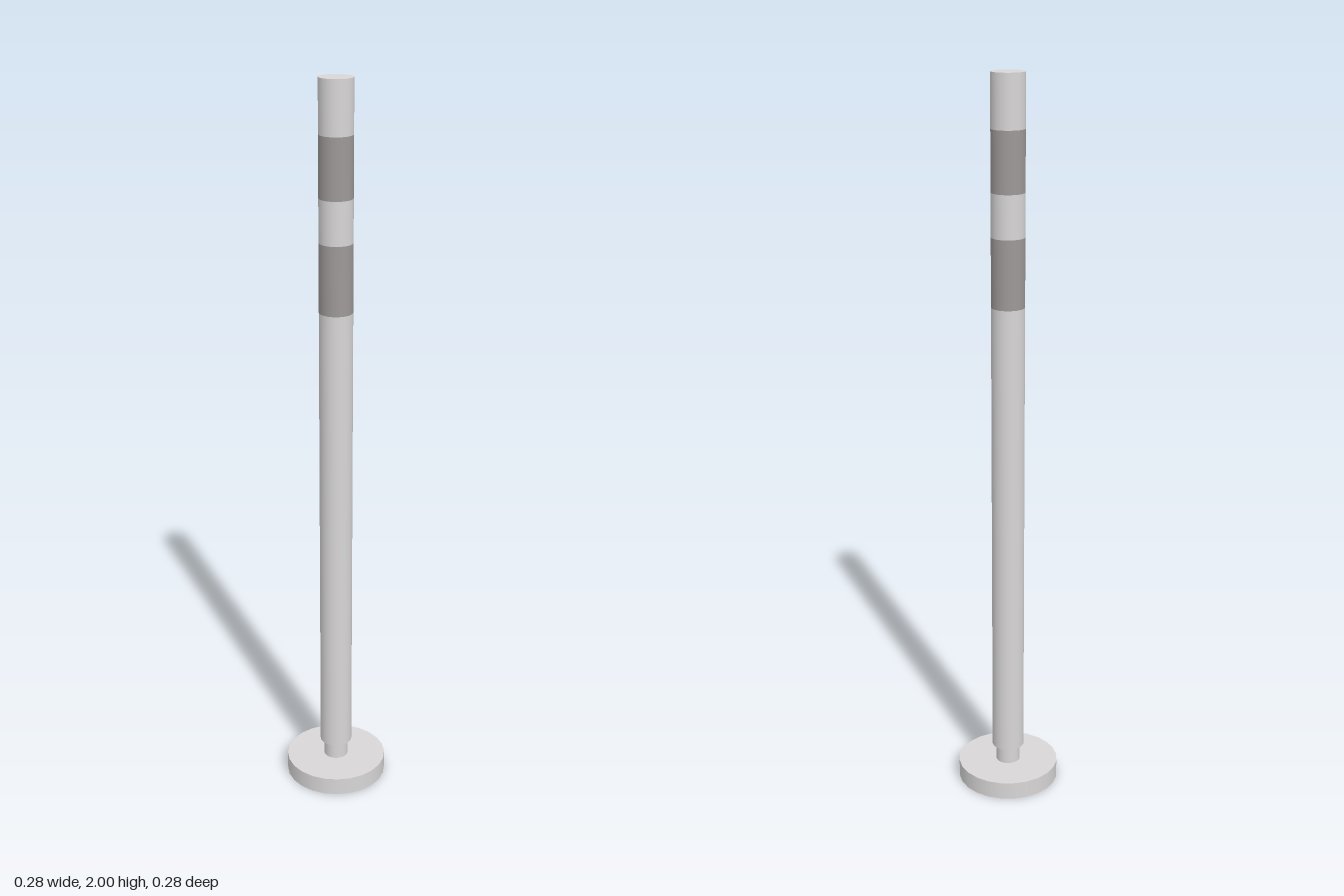
import * as THREE from 'three';

export function createModel() {
  const model = new THREE.Group();
  model.name = 'bollardPost';

  const paleGrey = new THREE.MeshStandardMaterial({ color: 0xd8d6d6 });
  paleGrey.name = 'pale grey';
  const bandGrey = new THREE.MeshStandardMaterial({ color: 0x9e9999 });
  bandGrey.name = 'band grey';

  // Upright cylinder between two heights
  function addCylinder(name, radius, y0, y1, material, open = false) {
    const geometry = new THREE.CylinderGeometry(radius, radius, y1 - y0, 24, 1, open);
    const mesh = new THREE.Mesh(geometry, material);
    mesh.name = name;
    mesh.position.y = (y0 + y1) / 2;
    model.add(mesh);
  }

  // Foot and the narrow neck above it
  addCylinder('base', 0.142, 0, 0.05, paleGrey);
  addCylinder('neck', 0.034, 0.05, 0.1, paleGrey, true);

  // Post with two darker bands, split at the colour changes
  const radius = 0.045;
  addCylinder('post', radius, 0.1, 1.4, paleGrey);
  addCylinder('lowerBand', radius, 1.4, 1.585, bandGrey, true);
  addCylinder('middlePost', radius, 1.585, 1.7, paleGrey, true);
  addCylinder('upperBand', radius, 1.7, 1.86, bandGrey, true);
  addCylinder('postTop', radius, 1.86, 2, paleGrey);

  return model;
}
